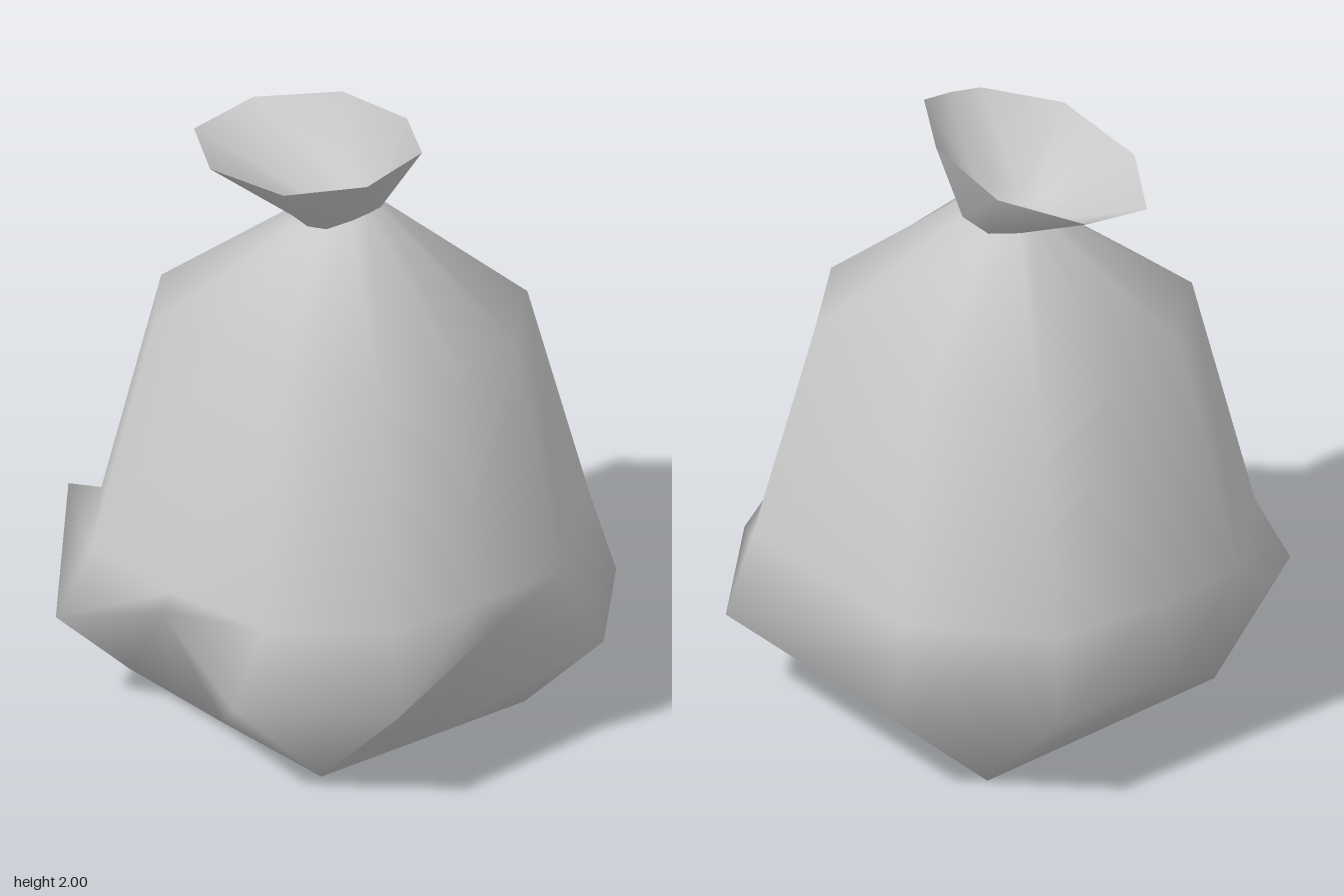
import * as THREE from 'three';
import { mergeVertices } from 'three/addons/utils/BufferGeometryUtils.js';

// Eleven columns run clockwise seen from above: back, right, front, left.
const bl = [-0.4, 0, -0.52], br = [0.52, 0.01, -0.3], fr = [0.4, 0.04, 0.54], fl = [-0.53, 0.04, 0.39];
const bottom = [bl, br, br, [0.46, 0.025, 0.12], fr, fr, [-0.07, 0.04, 0.47], fl, fl, fl, bl];

// Sagging belly, with raised creases on the right, front and left
const belly = [
  [-0.3, 0.32, -0.85], [0.54, 0.32, -0.72], [0.85, 0.34, -0.3], [0.76, 0.53, 0.11], [0.72, 0.36, 0.54],
  [0.3, 0.37, 0.85], [-0.1, 0.53, 0.73], [-0.55, 0.35, 0.72], [-0.86, 0.55, 0.3], [-0.79, 0.34, -0.05],
  [-0.73, 0.35, -0.55],
];
const waist = [
  [-0.27, 0.62, -0.77], [0.49, 0.6, -0.65], [0.73, 0.57, -0.25], [0.68, 0.58, 0.1], [0.6, 0.58, 0.43],
  [0.3, 0.59, 0.7], [-0.1, 0.58, 0.68], [-0.49, 0.58, 0.62], [-0.74, 0.57, 0.28], [-0.72, 0.58, -0.08],
  [-0.66, 0.6, -0.47],
];
const shoulder = [
  [-0.2, 1.34, -0.58], [0.36, 1.34, -0.5], [0.57, 1.35, -0.2], [0.55, 1.36, 0.05], [0.45, 1.36, 0.32],
  [0.22, 1.37, 0.5], [-0.08, 1.37, 0.5], [-0.35, 1.37, 0.48], [-0.56, 1.36, 0.2], [-0.53, 1.35, -0.08],
  [-0.47, 1.35, -0.36],
];
const neck = [
  [-0.06, 1.7, -0.15], [0.06, 1.71, -0.14], [0.12, 1.73, -0.07], [0.13, 1.74, 0], [0.11, 1.73, 0.06],
  [0.05, 1.7, 0.11], [-0.02, 1.69, 0.12], [-0.08, 1.69, 0.1], [-0.13, 1.7, 0.03], [-0.135, 1.7, -0.02],
  [-0.13, 1.7, -0.08],
];
const rim = [
  [-0.22, 1.94, -0.28], [0.1, 1.98, -0.22], [0.31, 2, -0.05], [0.3, 1.985, 0.06], [0.28, 1.96, 0.18],
  [0.07, 1.92, 0.34], [-0.1, 1.9, 0.32], [-0.27, 1.88, 0.3], [-0.51, 1.86, 0.1], [-0.49, 1.875, -0.02],
  [-0.47, 1.89, -0.14],
];

// Skins a stack of rings with smooth normals and closes the lowest ring at a centre point
function skin(rings, base) {
  const n = rings[0].length;
  const points = rings.flat();
  const centre = points.length;
  points.push(base);
  const index = [];
  for (let i = 0; i < n; i++) {
    const j = (i + 1) % n;
    index.push(centre, i, j);
    for (let r = 0; r < rings.length - 1; r++) {
      const a = r * n + i, b = r * n + j, c = a + n, d = b + n;
      index.push(a, c, b, b, c, d);
    }
  }
  let g = new THREE.BufferGeometry();
  g.setAttribute('position', new THREE.Float32BufferAttribute(points.flat(), 3));
  g.setIndex(index);
  g = mergeVertices(g, 1e-4);
  g.computeVertexNormals();
  return g;
}

export function createModel() {
  const group = new THREE.Group();
  group.name = 'tiedSack';
  const greyPlastic = new THREE.MeshStandardMaterial({ color: 0xc8c8c8, side: THREE.DoubleSide });
  greyPlastic.name = 'greyPlastic';

  const body = new THREE.Mesh(skin([bottom, belly, waist, shoulder, neck], [0, 0.02, 0]), greyPlastic);
  body.name = 'bagBody';

  // Flared opening above the pinched neck
  const mouth = new THREE.Mesh(skin([neck, rim], [0, 1.7, -0.02]), greyPlastic);
  mouth.name = 'bagMouth';

  group.add(body, mouth);
  return group;
}
